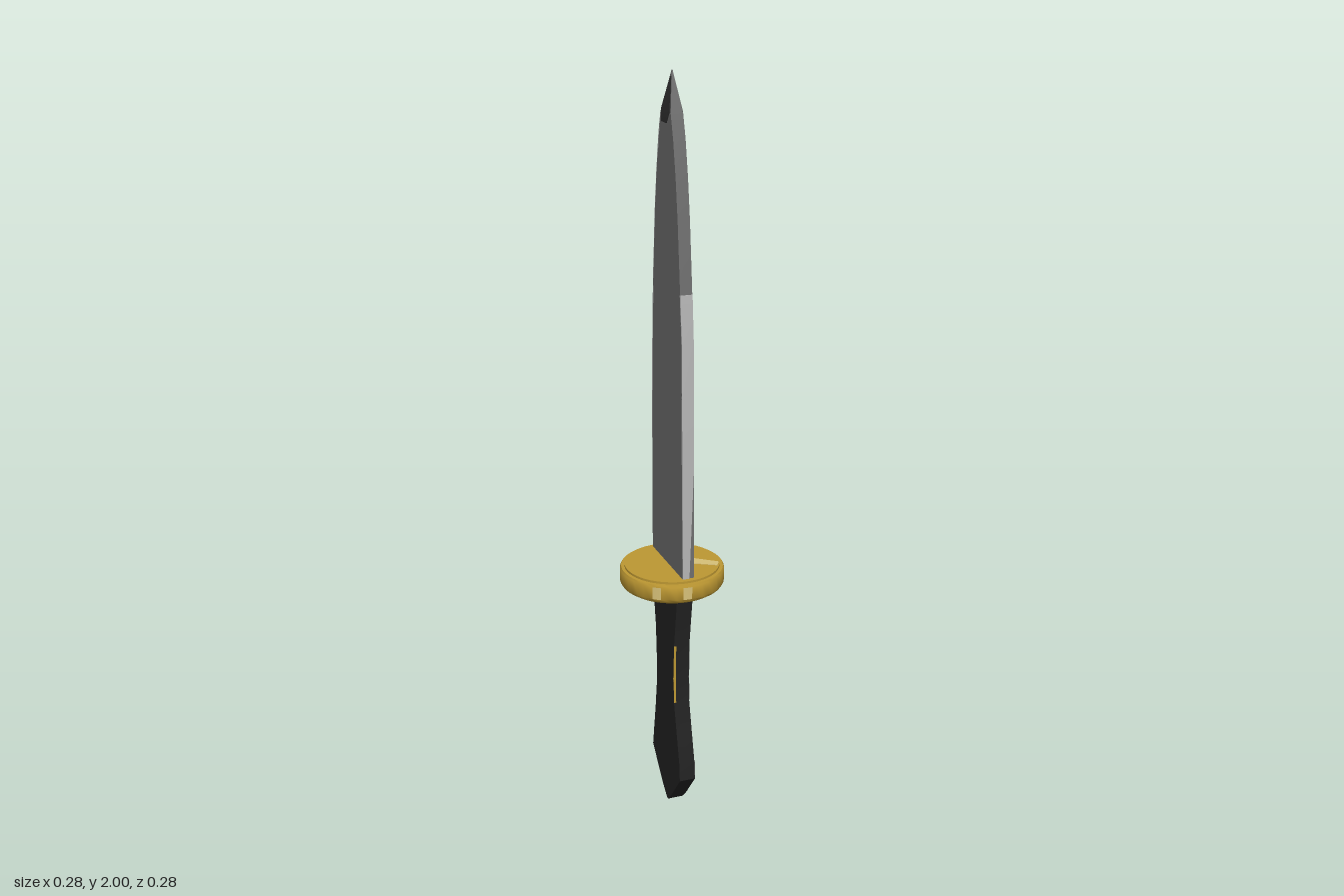
import * as THREE from 'three';
import { toCreasedNormals } from 'three/addons/utils/BufferGeometryUtils.js';

const mat = (name, color) => Object.assign(new THREE.MeshStandardMaterial({ color }), { name });

// Loft of rectangular sections, each [y, zBack, zFront, xMin, xMax], listed from bottom to top
function loft(sections) {
  const pos = [];
  const corners = ([y, z0, z1, x0, x1]) => [[x0, y, z1], [x1, y, z1], [x1, y, z0], [x0, y, z0]];
  const quad = (a, b, c, d) => pos.push(...a, ...b, ...c, ...a, ...c, ...d);
  const rings = sections.map(corners);
  for (let i = 0; i < rings.length - 1; i++) {
    for (let k = 0; k < 4; k++) {
      const n = (k + 1) % 4;
      quad(rings[i][k], rings[i][n], rings[i + 1][n], rings[i + 1][k]);
    }
  }
  const [a, b, c, d] = rings[0];
  quad(d, c, b, a);
  quad(...rings[rings.length - 1]);
  const geo = new THREE.BufferGeometry();
  geo.setAttribute('position', new THREE.Float32BufferAttribute(pos, 3));
  return toCreasedNormals(geo, 0.6);
}

export function createModel() {
  const steel = mat('steel', 0x6e6e6e);
  const brightSteel = mat('brightSteel', 0xb4b4b4);
  const darkSteel = mat('darkSteel', 0x303030);
  const brass = mat('brass', 0xbc9732);
  const paleBrass = mat('paleBrass', 0xd6c078);
  const grip = mat('blackGrip', 0x222222);
  const wornGrip = mat('wornGrip', 0x6a6a6a);

  const group = new THREE.Group();
  group.name = 'dagger';
  const add = (name, geo, material) => {
    const mesh = new THREE.Mesh(geo, material);
    mesh.name = name;
    group.add(mesh);
  };

  // Flat blade, narrowing in a curve
  const bladeOutline = [
    [0.70, -0.118, 0.112], [1.03, -0.118, 0.107], [1.35, -0.112, 0.1],
    [1.47, -0.105, 0.09], [1.65, -0.09, 0.072], [1.75, -0.077, 0.058],
    [1.84, -0.062, 0.041], [1.9, -0.046, 0.024],
  ];
  add('blade', loft(bladeOutline.map(([y, b, f]) => [y, b, f, -0.012, 0.02])), steel);

  // Polished strips: lower part of the front edge, upper part of the back edge
  add('frontEdgeShine', loft(bladeOutline.slice(0, 4).map(([y, , f], i) =>
    [y, f - 0.003, f + 0.002, -0.012, i ? 0.02 : 0.006])), brightSteel);
  add('backEdgeShine', loft(bladeOutline.slice(1).map(([y, b]) =>
    [y, b - 0.002, b + 0.003, -0.012, 0.02])), brightSteel);

  // Point tapering both ways, with dark facets on its flat sides
  add('bladeTip', loft([[1.9, -0.046, 0.024, -0.012, 0.02], [2, -0.011, -0.009, 0.003, 0.005]]), steel);
  add('tipFacets', loft([[1.875, -0.04, -0.004, -0.0135, 0.0215], [1.905, -0.041, 0.018, -0.0135, 0.0215],
    [1.985, -0.015, -0.006, 0.0005, 0.0075]]), darkSteel);

  // Round guard with a stepped, bevelled rim
  const rim = [[0, 0.645], [0.1, 0.645], [0.122, 0.652], [0.134, 0.66], [0.139, 0.668],
    [0.139, 0.704], [0.136, 0.709], [0.127, 0.709], [0.127, 0.715], [0, 0.715]];
  const guard = new THREE.LatheGeometry(rim.map(([r, y]) => new THREE.Vector2(r, y)), 48);
  add('guard', toCreasedNormals(guard, 0.6), brass);

  // Pale streak across the guard, above and below
  const streak = new THREE.Shape([[0.02, -0.035], [0.118, 0.042], [0.106, 0.062], [0.02, 0.012]]
    .map(([x, z]) => new THREE.Vector2(x, z)));
  for (const [name, top] of [['guardStreakTop', 0.7165], ['guardStreakBottom', 0.6495]]) {
    const geo = new THREE.ExtrudeGeometry(streak, { depth: 0.006, bevelEnabled: false });
    add(name, geo.rotateX(Math.PI / 2).translate(0, top, 0), paleBrass);
  }

  // Small pale marks on the front of the rim
  for (const [angle, width] of [[-0.72, 0.16], [-0.14, 0.17]]) {
    const mark = new THREE.CylinderGeometry(0.1405, 0.1405, 0.034, 4, 1, true, angle, width);
    add('rimMark', mark.translate(0, 0.686, 0), paleBrass);
  }

  // Waisted handle ending in a pointed pommel
  const handleOutline = [
    [0, 0.014, 0.024], [0.03, -0.022, 0.052], [0.11, -0.1, 0.116], [0.16, -0.092, 0.112],
    [0.24, -0.078, 0.092], [0.33, -0.066, 0.07], [0.4, -0.066, 0.066],
    [0.5, -0.073, 0.07], [0.58, -0.087, 0.082], [0.65, -0.1, 0.093],
  ];
  add('handle', loft(handleOutline.map(([y, b, f]) => [y, b, f, -0.02, 0.024])), grip);

  // Thin brass line down the front of the handle
  add('handleInlay', loft(handleOutline.slice(5, 8).map(([y, , f]) =>
    [y, f - 0.003, f + 0.0015, -0.02, -0.014])), brass);

  // Worn patches on the handle's left face
  const wear = [
    [[0.33, 0.062, 0.069], [0.4, 0.058, 0.065], [0.48, 0.063, 0.068]],
    [[0.3, -0.069, -0.062], [0.35, -0.065, -0.05], [0.39, -0.065, -0.056]],
    [[0.04, 0.048, 0.058], [0.11, 0.107, 0.115], [0.16, 0.107, 0.111]],
  ];
  for (const rows of wear) {
    add('handleWear', loft(rows.map(([y, b, f]) => [y, b, f, 0.022, 0.0255])), wornGrip);
  }

  return group;
}
